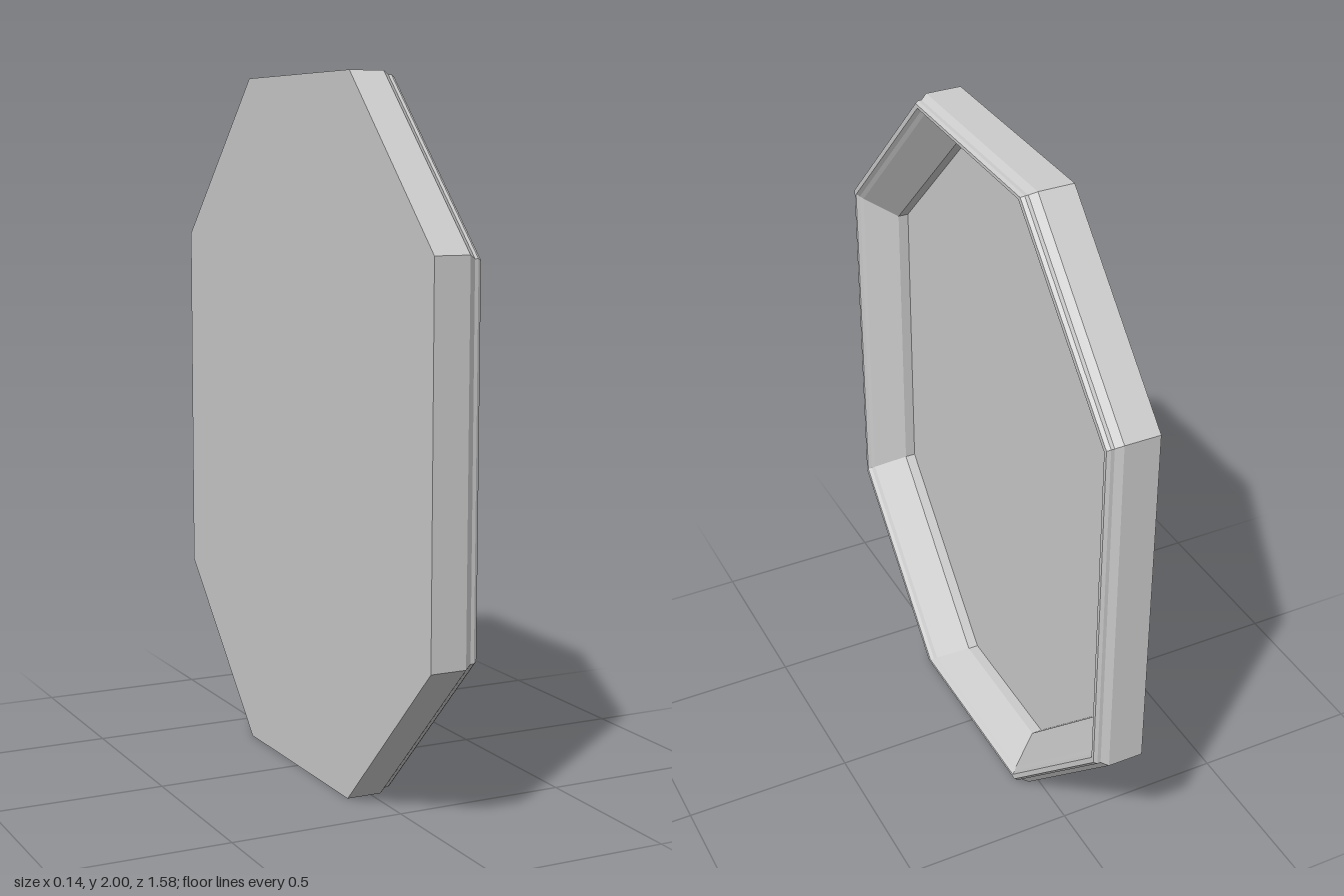
import * as THREE from 'three';

// Elongated octagon, inset by d; u runs across the width, v up the height
function octagon(d) {
  const wide = 0.79 - d, narrow = 0.325 - d;
  const tall = 1 - 0.86 * d, low = 0.53 - 0.86 * d;
  return [
    [wide, -low], [wide, low], [narrow, tall], [-narrow, tall],
    [-wide, low], [-wide, -low], [-narrow, -tall], [narrow, -tall],
  ];
}

// Sweeps a moulding profile of [inset, depth] pairs around the octagon
function mouldingGeometry(profile) {
  const positions = [];
  const rings = profile.map(([d, x]) => octagon(d).map(([u, v]) => [x, v + 1, -u]));
  for (let j = 0; j < rings.length - 1; j++) {
    for (let i = 0; i < 8; i++) {
      const k = (i + 1) % 8;
      const a = rings[j][i], b = rings[j][k], c = rings[j + 1][k], e = rings[j + 1][i];
      positions.push(...a, ...b, ...c, ...a, ...c, ...e);
    }
  }
  const geometry = new THREE.BufferGeometry();
  geometry.setAttribute('position', new THREE.Float32BufferAttribute(positions, 3));
  geometry.computeVertexNormals();
  return geometry;
}

// Flat octagonal sheet facing +x (side = 1) or -x (side = -1)
function sheetGeometry(d, x, side) {
  const shape = new THREE.Shape(octagon(d).map(([u, v]) => new THREE.Vector2(u, v)));
  return new THREE.ShapeGeometry(shape).rotateY(side * Math.PI / 2).translate(x, 1, 0);
}

export function createModel() {
  const group = new THREE.Group();
  group.name = 'octagonalFrame';
  const material = new THREE.MeshStandardMaterial({ color: 0xcccccc, flatShading: true });

  const add = (name, geometry) => {
    const mesh = new THREE.Mesh(geometry, material);
    mesh.name = name;
    group.add(mesh);
  };

  const back = -0.073, panel = -0.066;

  // Outer wall, stepped lip, sloped inner face and short step down to the panel
  add('frameMoulding', mouldingGeometry([
    [0, back], [0, 0.03], [0.012, 0.05], [0.012, 0.06], [0.017, 0.07],
    [0.028, 0.07], [0.034, 0.06], [0.042, 0.052], [0.102, -0.035], [0.102, panel],
  ]));
  add('frontPanel', sheetGeometry(0.102, panel, 1));
  add('backPanel', sheetGeometry(0, back, -1));

  return group;
}
